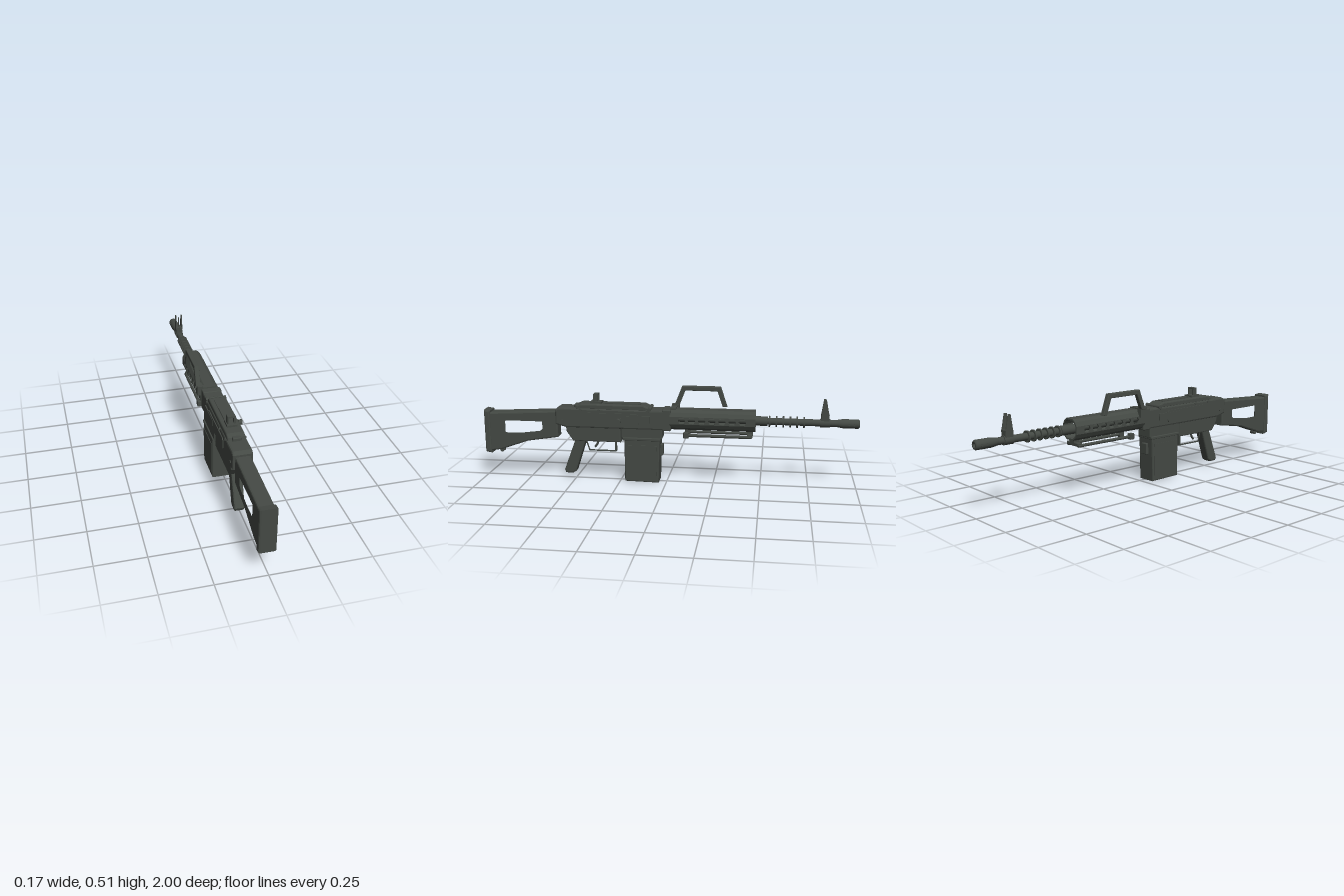
import * as THREE from 'three';
import { RoundedBoxGeometry } from 'three/addons/geometries/RoundedBoxGeometry.js';

const CX = -0.01; // centre plane of the body
const AXIS = 0.348; // barrel height

export function createModel() {
  const root = new THREE.Group();
  const gunmetal = new THREE.MeshStandardMaterial({ color: 0x444944 });
  gunmetal.name = 'gunmetal';

  const add = (name, geo) => {
    const m = new THREE.Mesh(geo, gunmetal);
    m.name = name;
    root.add(m);
    return m;
  };
  const poly = (pts, holes = []) => {
    const s = new THREE.Shape(pts.map(p => new THREE.Vector2(...p)));
    for (const h of holes) s.holes.push(new THREE.Path(h.map(p => new THREE.Vector2(...p))));
    return s;
  };
  // Side outline in (z, y), extruded across x
  const side = (name, pts, width, { x = CX, bevel = 0, holes = [] } = {}) => {
    const g = new THREE.ExtrudeGeometry(poly(pts, holes), {
      depth: width - 2 * bevel, bevelEnabled: bevel > 0, bevelSize: bevel,
      bevelThickness: bevel, bevelOffset: -bevel, bevelSegments: 2, curveSegments: 6,
    });
    g.translate(0, 0, -(width - 2 * bevel) / 2).rotateY(-Math.PI / 2).translate(x, 0, 0);
    return add(name, g);
  };
  // Cross-section in (x, y) about the barrel axis, extruded along z
  const along = (name, pts, z0, z1) => {
    const g = new THREE.ExtrudeGeometry(poly(pts), { depth: z1 - z0, bevelEnabled: false });
    return add(name, g.translate(CX, AXIS, z0));
  };
  const box = (name, x0, x1, y0, y1, z0, z1, r = 0) => {
    const d = [x1 - x0, y1 - y0, z1 - z0];
    const g = r ? new RoundedBoxGeometry(...d, 2, r) : new THREE.BoxGeometry(...d);
    return add(name, g.translate((x0 + x1) / 2, (y0 + y1) / 2, (z0 + z1) / 2));
  };
  const rodZ = (name, r, z0, z1, x = CX, y = AXIS, r1 = r) =>
    add(name, new THREE.CylinderGeometry(r1, r, z1 - z0, 20).rotateX(Math.PI / 2).translate(x, y, (z0 + z1) / 2));
  const rodX = (name, r, x0, x1, y, z) =>
    add(name, new THREE.CylinderGeometry(r, r, x1 - x0, 16).rotateZ(Math.PI / 2).translate((x0 + x1) / 2, y, z));

  // Stock with cut-out, butt plate and sling stud
  side('stock', [[0.59, 0.375], [0.975, 0.355], [0.975, 0.14], [0.91, 0.15], [0.76, 0.203], [0.59, 0.23]], 0.076, {
    bevel: 0.008,
    holes: [[[0.675, 0.323], [0.88, 0.323], [0.89, 0.313], [0.89, 0.249], [0.88, 0.24], [0.8, 0.24], [0.685, 0.255], [0.667, 0.27], [0.667, 0.315]]],
  });
  side('buttPlate', [[0.965, 0.365], [1, 0.37], [1, 0.135], [0.965, 0.128]], 0.086, { bevel: 0.009 });
  rodX('slingStud', 0.012, CX - 0.015, CX + 0.015, 0.143, 0.915);

  // Receiver with chamfered top edges
  side('receiver', [[0.6, 0.385], [0.58, 0.397], [0, 0.397], [0, 0.29], [0.54, 0.29], [0.6, 0.305]], 0.1, { bevel: 0.009 });
  box('frontTrunnion', CX - 0.05, CX + 0.05, 0.287, 0.402, -0.025, 0.022, 0.006);
  side('lowerReceiver', [[0.545, 0.3], [0.54, 0.265], [0.505, 0.215], [0.245, 0.215], [0.245, 0.3]], 0.086, { bevel: 0.005 });
  for (const s of [-1, 1]) {
    side('sidePanel', [[0.43, 0.365], [0.42, 0.375], [0.155, 0.375], [0.147, 0.365], [0.147, 0.32], [0.157, 0.31], [0.42, 0.31], [0.43, 0.32]], 0.006, { x: CX + s * 0.052 });
    box('sideRail', CX + s * 0.054 - 0.003, CX + s * 0.054 + 0.003, 0.328, 0.364, 0.085, 0.235);
    for (const z of [0.1, 0.36, 0.46, 0.56]) rodX('pin', 0.007, CX + s * 0.051 - 0.003, CX + s * 0.051 + 0.003, 0.388 - (z > 0.5 ? 0.06 : 0), z);
  }

  // Feed cover with raised plate, rear latch and hinge
  side('feedCover', [[0.49, 0.39], [0.485, 0.41], [0.46, 0.42], [0.12, 0.42], [0.08, 0.4], [0.08, 0.39]], 0.09, { bevel: 0.007 });
  box('coverPlate', CX - 0.022, CX + 0.022, 0.418, 0.424, 0.14, 0.34);
  box('coverLatch', CX - 0.022, CX + 0.022, 0.39, 0.413, 0.47, 0.5, 0.004);
  rodX('coverHinge', 0.01, CX - 0.053, CX + 0.053, 0.4, 0.09);

  // Rear sight frame
  box('rearSightBase', CX - 0.026, CX + 0.026, 0.417, 0.43, 0.35, 0.41);
  for (const s of [-1, 1]) box('rearSightPost', CX + s * 0.0165 - 0.004, CX + s * 0.0165 + 0.004, 0.42, 0.47, 0.37, 0.395);
  box('rearSightBar', CX - 0.0205, CX + 0.0205, 0.462, 0.47, 0.37, 0.395);

  // Charging handle
  rodX('chargingShaft', 0.007, 0.03, 0.07, 0.34, 0.25);
  rodX('chargingCollar', 0.014, 0.036, 0.047, 0.34, 0.25);
  rodX('chargingKnob', 0.014, 0.065, 0.085, 0.34, 0.25);

  // Grip, trigger and guard
  side('grip', [[0.495, 0.225], [0.562, 0.045], [0.555, 0.028], [0.515, 0.028], [0.497, 0.04], [0.437, 0.225]], 0.055, { bevel: 0.008 });
  side('triggerGuard', [[0.445, 0.22], [0.425, 0.155], [0.275, 0.155], [0.275, 0.22]], 0.024,
    { holes: [[[0.436, 0.215], [0.419, 0.163], [0.283, 0.163], [0.283, 0.215]]] });
  const pull = new THREE.QuadraticBezierCurve3(new THREE.Vector3(CX, 0.22, 0.375),
    new THREE.Vector3(CX, 0.195, 0.375), new THREE.Vector3(CX, 0.175, 0.395));
  add('trigger', new THREE.TubeGeometry(pull, 8, 0.006, 8));

  // Magazine well, box magazine and catch
  box('magazineWell', CX - 0.047, CX + 0.047, 0.24, 0.3, 0.022, 0.24, 0.004);
  box('magazineRim', CX - 0.054, CX + 0.054, 0.23, 0.246, 0.028, 0.232, 0.004);
  side('magazine', [[0.224, 0.24], [0.222, 0.003], [0.04, 0], [0.033, 0.24]], 0.105, { bevel: 0.006 });
  for (const s of [-1, 1])
    side('magazinePanel', [[0.21, 0.205], [0.209, 0.03], [0.052, 0.03], [0.048, 0.205]], 0.005, { x: CX + s * 0.053 });
  box('magazineCatch', CX - 0.02, CX + 0.02, 0.145, 0.205, 0.02, 0.04, 0.004);

  // Vented handguard: upper and lower shells joined by pierced side walls
  const half = [[-0.055, 0.02], [-0.043, 0.041], [-0.026, 0.054], [0.026, 0.054], [0.043, 0.041], [0.055, 0.02],
    [0.047, 0.02], [0.037, 0.035], [0.023, 0.046], [-0.023, 0.046], [-0.037, 0.035], [-0.047, 0.02]];
  along('handguardTop', half, -0.468, -0.02);
  along('handguardBottom', half.map(([x, y]) => [x, -y]), -0.468, -0.02);
  const vents = [];
  for (let i = 0; i < 7; i++) {
    const z = -0.082 - i * 0.053;
    vents.push([[z - 0.02, AXIS], [z - 0.012, AXIS + 0.016], [z + 0.012, AXIS + 0.016],
      [z + 0.02, AXIS], [z + 0.012, AXIS - 0.016], [z - 0.012, AXIS - 0.016]]);
  }
  for (const s of [-1, 1])
    side('handguardWall', [[-0.02, AXIS + 0.02], [-0.468, AXIS + 0.02], [-0.468, AXIS - 0.02], [-0.02, AXIS - 0.02]], 0.008,
      { x: CX + s * 0.051, holes: vents });

  // Folded bipod
  box('bipodBracket', CX - 0.046, CX + 0.046, 0.264, 0.282, -0.455, -0.425, 0.004);
  box('bipodMount', CX - 0.018, CX + 0.018, 0.27, 0.3, -0.455, -0.425);
  for (const s of [-1, 1]) {
    const x = CX + s * 0.041;
    rodZ('bipodLeg', 0.008, -0.45, -0.1, x, 0.267);
    box('bipodFoot', x - 0.013, x + 0.013, 0.252, 0.284, -0.12, -0.092, 0.004);
  }

  // Carry handle, swung to one side
  side('carryHandle', [[-0.032, 0.405], [-0.073, 0.512], [-0.278, 0.512], [-0.315, 0.405], [-0.29, 0.405], [-0.262, 0.488], [-0.09, 0.488], [-0.058, 0.405]],
    0.026, { x: -0.072, bevel: 0.004 });
  box('handleClamp', -0.08, -0.05, 0.363, 0.415, -0.06, -0.02);
  box('handleStrap', -0.07, CX + 0.03, 0.396, 0.408, -0.05, -0.02);

  // Barrel, cooling rings and open muzzle
  rodZ('barrel', 0.018, -0.93, 0);
  rodZ('barrelCollar', 0.025, -0.53, -0.44);
  for (let i = 0; i < 6; i++) rodZ('coolingRing', 0.029, -0.544 - i * 0.0355, -0.536 - i * 0.0355);
  const muzzle = [[0.018, 0.88], [0.024, 0.915], [0.024, 0.994], [0.019, 1], [0.011, 1], [0.011, 0.94], [0, 0.94]];
  add('muzzle', new THREE.LatheGeometry(muzzle.map(p => new THREE.Vector2(...p)), 20)
    .rotateX(-Math.PI / 2).translate(CX, AXIS, 0)).geometry.computeVertexNormals();
  for (const s of [-1, 1])
    for (const z of [-0.945, -0.972]) rodX('muzzlePort', 0.006, CX + s * 0.0235 - 0.001, CX + s * 0.0235 + 0.001, AXIS, z);

  // Front sight with two ears and a post
  rodZ('frontSightBand', 0.023, -0.85, -0.8);
  box('frontSightBase', CX - 0.018, CX + 0.018, 0.362, 0.395, -0.845, -0.803);
  for (const s of [-1, 1])
    side('frontSightEar', [[-0.803, 0.385], [-0.815, 0.47], [-0.828, 0.47], [-0.845, 0.385]], 0.006, { x: CX + s * 0.0165 });
  add('frontSightPost', new THREE.CylinderGeometry(0.003, 0.003, 0.07, 8).translate(CX, 0.42, -0.822));

  return root;
}
